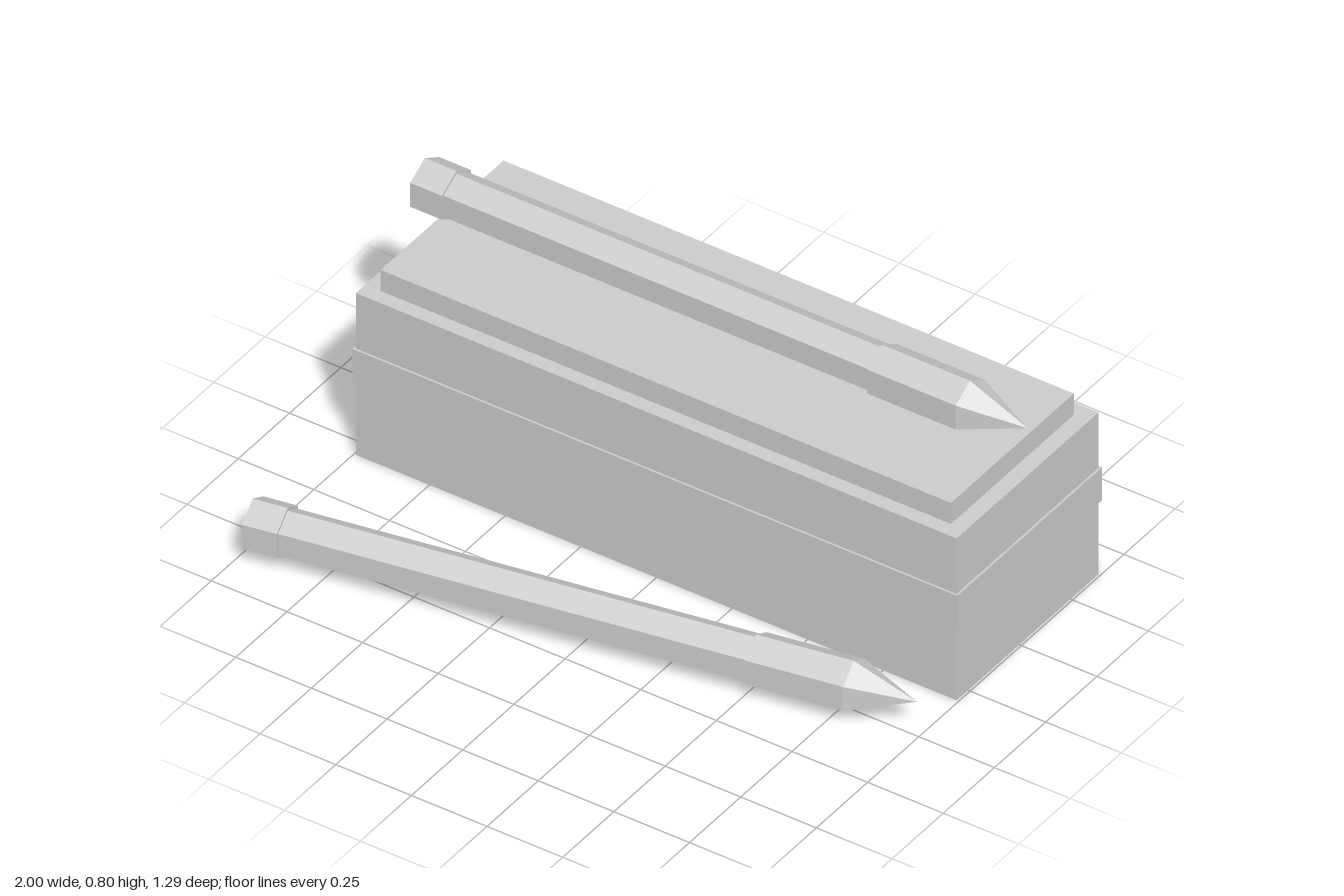
import * as THREE from 'three';

const grey = new THREE.MeshStandardMaterial({ color: 0xcccccc, flatShading: true });
grey.name = 'plain grey';

function addBox(group, name, width, depth, y0, y1) {
  const mesh = new THREE.Mesh(new THREE.BoxGeometry(width, y1 - y0, depth), grey);
  mesh.name = name;
  mesh.position.y = (y0 + y1) / 2;
  group.add(mesh);
}

// Six-sided section along x, with a ridge on top
function addSection(group, name, x0, x1, rStart, rEnd, open = false) {
  const geometry = new THREE.CylinderGeometry(rEnd, rStart, x1 - x0, 6, 1, open);
  geometry.rotateY(Math.PI / 2);
  geometry.rotateZ(-Math.PI / 2);
  const mesh = new THREE.Mesh(geometry, grey);
  mesh.name = name;
  mesh.position.x = (x0 + x1) / 2;
  group.add(mesh);
}

function makePencil(name) {
  const pencil = new THREE.Group();
  pencil.name = name;
  addSection(pencil, 'endCap', -1, -0.895, 0.082, 0.082);
  addSection(pencil, 'shaft', -0.895, 0.51, 0.073, 0.073, true);
  addSection(pencil, 'collar', 0.51, 0.803, 0.082, 0.082);
  addSection(pencil, 'point', 0.803, 0.993, 0.082, 0, true);
  return pencil;
}

export function createModel() {
  const model = new THREE.Group();
  model.name = 'pencilBoxSet';

  // Case with a raised band and lid panel
  const box = new THREE.Group();
  box.name = 'case';
  box.position.z = -0.291;
  addBox(box, 'caseBody', 1.986, 0.692, 0, 0.555);
  addBox(box, 'caseBand', 2, 0.706, 0.252, 0.365);
  addBox(box, 'lidPanel', 1.886, 0.6, 0.555, 0.627);
  model.add(box);

  // Pencil above the lid
  const upper = makePencil('upperPencil');
  upper.position.set(0, 0.717, -0.291);
  model.add(upper);

  // Pencil lying at an angle in front
  const lower = makePencil('lowerPencil');
  lower.position.set(0, 0.095, 0.398);
  lower.rotation.y = THREE.MathUtils.degToRad(10);
  model.add(lower);

  return model;
}
